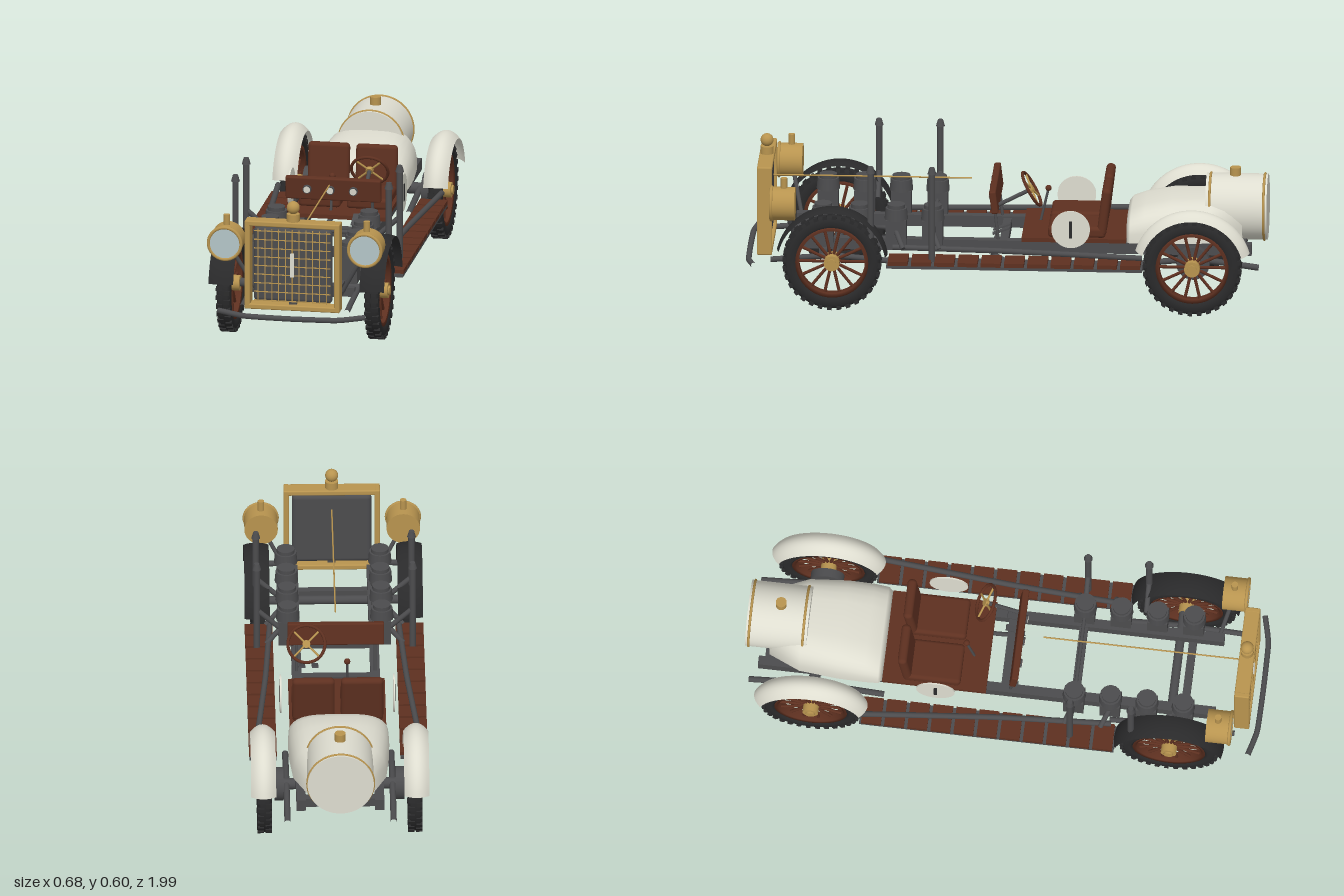
import * as THREE from 'three';
import { RoundedBoxGeometry } from 'three/addons/geometries/RoundedBoxGeometry.js';

export function createModel() {
  const mat = (name, color, side = THREE.FrontSide) => {
    const m = new THREE.MeshStandardMaterial({ color, side });
    m.name = name;
    return m;
  };
  const steel = mat('steel grey', 0x4c4c4e);
  const black = mat('rubber black', 0x2a2a2b, THREE.DoubleSide);
  const brass = mat('brass', 0xb8944f);
  const brown = mat('leather brown', 0x5e3020);
  const cream = mat('cream paint', 0xdeddd0, THREE.DoubleSide);
  const glass = mat('pale glass', 0xb4c6c8);

  const car = new THREE.Group();
  car.name = 'vintageRacer';
  const V = (x, y, z) => new THREE.Vector3(x, y, z);

  function add(name, geo, material, x = 0, y = 0, z = 0, parent = car) {
    const m = new THREE.Mesh(geo, material);
    m.name = name;
    m.position.set(x, y, z);
    parent.add(m);
    return m;
  }
  const box = (w, h, d) => new THREE.BoxGeometry(w, h, d);
  const soft = (w, h, d, r) => new THREE.BoxGeometry && new RoundedBoxGeometry(w, h, d, 3, r);
  const cyl = (r1, r2, h, n = 24) => new THREE.CylinderGeometry(r1, r2, h, n);
  const cylX = (r, h, n = 28) => cyl(r, r, h, n).rotateZ(Math.PI / 2);
  const cylZ = (r, h, n = 36) => cyl(r, r, h, n).rotateX(Math.PI / 2);
  // straight round bar between two points
  function rod(name, a, b, r, material, parent = car) {
    const m = add(name, cyl(r, r, a.distanceTo(b), 12), material, 0, 0, 0, parent);
    m.position.copy(a).lerp(b, 0.5);
    m.quaternion.setFromUnitVectors(V(0, 1, 0), b.clone().sub(a).normalize());
    return m;
  }
  const tube = (name, pts, r, material) =>
    add(name, new THREE.TubeGeometry(new THREE.CatmullRomCurve3(pts, false, 'catmullrom', 0.2), 24, r, 10), material);
  // surface from a grid of points p(u, v), u and v from 0 to 1
  function grid(nu, nv, p) {
    const pos = [], idx = [];
    for (let i = 0; i <= nu; i++) for (let j = 0; j <= nv; j++) pos.push(...p(i / nu, j / nv));
    for (let i = 0; i < nu; i++) for (let j = 0; j < nv; j++) {
      const a = i * (nv + 1) + j, b = a + nv + 1;
      idx.push(a, b, a + 1, b, b + 1, a + 1);
    }
    const g = new THREE.BufferGeometry();
    g.setAttribute('position', new THREE.Float32BufferAttribute(pos, 3));
    g.setIndex(idx);
    g.computeVertexNormals();
    return g;
  }

  // wheels: tyre with tread lugs, rim, spokes, hub
  function wheel(s, z) {
    const w = new THREE.Group();
    w.name = 'wheel';
    w.position.set(s * 0.288, 0.19, z);
    car.add(w);
    const prof = [[0.138, -0.02], [0.15, -0.027], [0.172, -0.026], [0.184, -0.016], [0.184, 0.016],
      [0.172, 0.026], [0.15, 0.027], [0.138, 0.02], [0.138, -0.02]].map(p => new THREE.Vector2(...p));
    add('tyre', new THREE.LatheGeometry(prof, 48).rotateZ(Math.PI / 2), black, 0, 0, 0, w);
    for (let i = 0; i < 32; i++) for (const side of [-1, 1]) {
      const a = (i + side * 0.25) / 32 * Math.PI * 2;
      const lug = add('treadLug', box(0.024, 0.014, 0.017), black, side * 0.015, Math.sin(a) * 0.182, Math.cos(a) * 0.182, w);
      lug.rotation.x = Math.PI / 2 - a;
    }
    const rim = [[0.126, -0.02], [0.14, -0.022], [0.14, 0.022], [0.126, 0.02], [0.126, -0.02]].map(p => new THREE.Vector2(...p));
    add('rim', new THREE.LatheGeometry(rim, 48).rotateZ(Math.PI / 2), brown, 0, 0, 0, w);
    for (let i = 0; i < 14; i++) {
      const a = i / 14 * Math.PI * 2;
      rod('spoke', V(0, Math.sin(a) * 0.02, Math.cos(a) * 0.02), V(0, Math.sin(a) * 0.13, Math.cos(a) * 0.13), 0.006, brown, w);
    }
    add('hub', cylX(0.03, 0.07), brass, 0, 0, 0, w);
    add('hubCap', cylX(0.018, 0.012), brass, s * 0.036, 0, 0, w);
  }

  // arched mudguard around a wheel, domed across its width
  function fender(name, s, cz, r, a0, a1, dome, material) {
    add(name, grid(28, 10, (u, v) => {
      const a = a0 + (a1 - a0) * u, t = v * 2 - 1;
      const rr = r - dome * t * t;
      return [s * 0.293 + t * 0.048, 0.19 + rr * Math.sin(a), cz + rr * Math.cos(a)];
    }), material);
  }

  for (const s of [-1, 1]) {
    wheel(s, 0.66);
    wheel(s, -0.72);
    fender('frontFender', s, 0.66, 0.216, 0.24, 2.98, 0.008, black);
    fender('rearFender', s, -0.72, 0.228, 0.3, 2.87, 0.03, cream);

    // chassis rail, leaf springs, rear brake drum
    add('chassisRail', box(0.036, 0.045, 1.76), steel, s * 0.15, 0.222, -0.06);
    tube('frontSpring', [V(s * 0.203, 0.165, 0.9), V(s * 0.203, 0.185, 0.66), V(s * 0.203, 0.165, 0.42)], 0.011, steel);
    tube('rearSpring', [V(s * 0.203, 0.165, -0.97), V(s * 0.203, 0.195, -0.72), V(s * 0.203, 0.165, -0.45)], 0.012, steel);
    add('brakeDrum', cylX(0.064, 0.034), steel, s * 0.231, 0.19, -0.72);

    // running board with wooden slats
    add('runningBoard', box(0.104, 0.013, 0.98), steel, s * 0.289, 0.187, -0.04);
    for (let i = 0; i < 11; i++)
      add('slat', box(0.106, 0.016, 0.076), brown, s * 0.289, 0.2, 0.406 - i * 0.089);
    tube('sidePipe', [V(s * 0.245, 0.236, 0.43), V(s * 0.27, 0.236, 0), V(s * 0.318, 0.232, -0.53)], 0.011, steel);

    // engine cylinders
    for (const z of [0.28, 0.42, 0.56, 0.7]) {
      add('cylinderBase', box(0.07, 0.1, 0.078), steel, s * 0.18, 0.282, z);
      add('cylinderBarrel', cyl(0.041, 0.045, 0.045, 16), steel, s * 0.18, 0.353, z);
      add('cylinderHead', cyl(0.034, 0.034, 0.016, 16), steel, s * 0.18, 0.382, z);
      if (z < 0.5) rod('exhaustBranch', V(s * 0.205, 0.29, z), V(s * 0.262, 0.235, z - 0.03), 0.01, steel);
    }
    // upright exhaust stacks
    for (const z of [0.277, 0.512]) {
      add('exhaustStack', cyl(0.0125, 0.0125, 0.35, 16), steel, s * 0.298, 0.375, z);
      add('stackTip', cyl(0.01, 0.017, 0.025, 16), steel, s * 0.298, 0.563, z);
      rod('stackBranch', V(s * 0.205, 0.285, z), V(s * 0.298, 0.37, z), 0.01, steel);
    }

    // headlamp
    add('lampBody', cylZ(0.064, 0.09), brass, s * 0.272, 0.413, 0.847);
    add('lampRing', new THREE.TorusGeometry(0.063, 0.0065, 10, 40), brass, s * 0.272, 0.413, 0.893);
    add('lampLens', cylZ(0.06, 0.006), glass, s * 0.272, 0.413, 0.893);
    add('lampChimney', cyl(0.0125, 0.0125, 0.05, 16), brass, s * 0.272, 0.491, 0.845);
    rod('lampBracket', V(s * 0.17, 0.22, 0.8), V(s * 0.25, 0.365, 0.835), 0.008, steel);

    // low pipe beneath the car
    tube('underPipe', [V(s * 0.103, 0.175, 0.06), V(s * 0.103, 0.14, -0.01), V(s * 0.103, 0.127, -0.3), V(s * 0.103, 0.122, -0.58)], 0.009, steel);

    // seat, one per side
    add('seatCushion', soft(0.162, 0.045, 0.22, 0.015), brown, s * 0.093, 0.282, -0.27);
    const back = add('seatBack', soft(0.162, 0.19, 0.036, 0.016), brown, s * 0.093, 0.362, -0.375);
    back.rotation.x = -0.12;

    // round side plate with a plain bar on it
    add('sidePlate', cylX(0.074, 0.006, 36), cream, s * 0.217, 0.31, -0.25);
    add('plateBar', box(0.003, 0.068, 0.012), black, s * 0.2215, 0.31, -0.25);
  }

  // cross members and axles
  for (const z of [0.28, 0.01, -0.46, -0.9]) add('crossMember', box(0.29, 0.035, 0.032), steel, 0, 0.22, z);
  add('frontCrossMember', box(0.4, 0.035, 0.03), steel, 0, 0.19, 0.7);
  add('frontAxle', cylX(0.017, 0.55), steel, 0, 0.19, 0.65);
  add('rearAxle', cylX(0.022, 0.55), steel, 0, 0.19, -0.72);
  add('differential', new THREE.SphereGeometry(0.064, 24, 16), steel, 0, 0.19, -0.72);
  rod('cylinderTie', V(-0.18, 0.3, 0.28), V(0.18, 0.3, 0.28), 0.007, steel);
  rod('bonnetRod', V(0, 0.44, 0.9), V(0, 0.44, 0.14), 0.003, brass);

  // front bumper
  const bumper = [V(-0.285, 0.166, 0.96), V(-0.18, 0.156, 0.985), V(0, 0.154, 0.988), V(0.18, 0.156, 0.985), V(0.285, 0.166, 0.96)];
  tube('bumper', bumper, 0.011, steel);

  // radiator: brass frame, core, grille wires
  const frame = new THREE.Group();
  frame.name = 'radiator';
  frame.position.set(0, 0.351, 0.925);
  car.add(frame);
  for (const s of [-1, 1]) {
    add('frameSide', soft(0.021, 0.352, 0.058, 0.005), brass, s * 0.174, 0, 0, frame);
    add('frameBar', soft(0.368, 0.021, 0.058, 0.005), brass, 0, s * 0.165, 0, frame);
  }
  add('radiatorCore', soft(0.304, 0.296, 0.04, 0.018), steel, 0, 0.001, 0, frame);
  for (let i = -5; i <= 5; i++) add('grilleWire', box(0.0035, 0.288, 0.004), brass, i * 0.0265, 0.001, 0.021, frame);
  for (let i = 0; i < 9; i++) add('grilleWire', box(0.298, 0.0035, 0.004), brass, 0, 0.136 - i * 0.0345, 0.021, frame);
  for (const s of [-1, 1]) add('coreMount', box(0.03, 0.01, 0.02), steel, 0, s * 0.151, 0, frame);
  add('frontPlate', box(0.014, 0.094, 0.006), cream, 0, 0.005, 0.025, frame);
  add('fillerNeck', cyl(0.025, 0.025, 0.03), brass, 0, 0.19, 0, frame);
  add('fillerBall', new THREE.SphereGeometry(0.025, 24, 16), brass, 0, 0.229, 0, frame);

  // floor and dashboard with dials
  add('floor', box(0.37, 0.016, 0.4), brown, 0, 0.255, -0.26);
  const dash = add('dashboard', soft(0.37, 0.09, 0.026, 0.006), brown, 0, 0.4, 0.047);
  dash.rotation.x = 0.12;
  for (const x of [-0.1, -0.01, 0.08]) {
    add('dialBezel', cylZ(0.017, 0.012, 20), steel, x, 0, 0.016, dash);
    add('dialFace', cylZ(0.013, 0.004, 20), cream, x, 0, 0.0225, dash);
  }
  for (const s of [-1, 1]) rod('dashPost', V(s * 0.15, 0.235, 0.03), V(s * 0.15, 0.37, 0.045), 0.006, steel);

  // steering wheel, column, lever and pedals
  const steer = new THREE.Group();
  steer.name = 'steeringWheel';
  steer.position.set(0.115, 0.438, -0.095);
  steer.rotation.x = 0.52;
  car.add(steer);
  add('steeringRim', new THREE.TorusGeometry(0.071, 0.006, 10, 40), brown, 0, 0, 0, steer);
  add('steeringHub', cylZ(0.015, 0.014, 20), brass, 0, 0, 0, steer);
  for (let i = 0; i < 4; i++) {
    const a = i * Math.PI / 2 + Math.PI / 4;
    rod('steeringSpoke', V(0, 0, 0), V(Math.cos(a) * 0.07, Math.sin(a) * 0.07, 0), 0.004, brass, steer);
  }
  rod('steeringColumn', V(0.115, 0.438, -0.095), V(0.115, 0.37, 0.035), 0.008, steel);
  rod('gearLever', V(-0.04, 0.255, -0.12), V(-0.04, 0.385, -0.15), 0.005, steel);
  add('gearKnob', new THREE.SphereGeometry(0.012, 16, 12), brown, -0.04, 0.392, -0.151);
  for (const x of [0.08, 0.13]) {
    const pedal = add('pedal', box(0.025, 0.006, 0.07), steel, x, 0.273, 0.02);
    pedal.rotation.x = 0.35;
  }

  // tail body: rounded sections [z, half width, top]
  const stations = [[-0.46, 0.001, 0.252], [-0.461, 0.18, 0.335], [-0.475, 0.192, 0.352], [-0.53, 0.194, 0.375], [-0.63, 0.192, 0.395],
    [-0.78, 0.178, 0.4], [-0.9, 0.125, 0.39], [-0.901, 0.001, 0.252]];
  const n = stations.length - 1;
  add('tailBody', grid(n, 32, (u, v) => {
    const [z, w, top] = stations[Math.round(u * n)];
    const a = v * Math.PI * 2, c = Math.cos(a), q = Math.sin(a);
    const y = q > 0 ? 0.25 + (top - 0.25) * Math.pow(q, 0.7) : 0.25;
    return [w * Math.sign(c) * Math.pow(Math.abs(c), 0.6), y, z];
  }), cream);

  // fuel tank with brass bands and cap
  add('fuelTank', cylZ(0.127, 0.235, 48), cream, 0, 0.345, -0.877);
  for (const z of [-0.775, -0.982])
    add('tankBand', new THREE.TorusGeometry(0.127, 0.005, 8, 48), brass, 0, 0.345, z);
  add('tankCap', cyl(0.021, 0.021, 0.04), brass, 0, 0.482, -0.87);

  return car;
}
